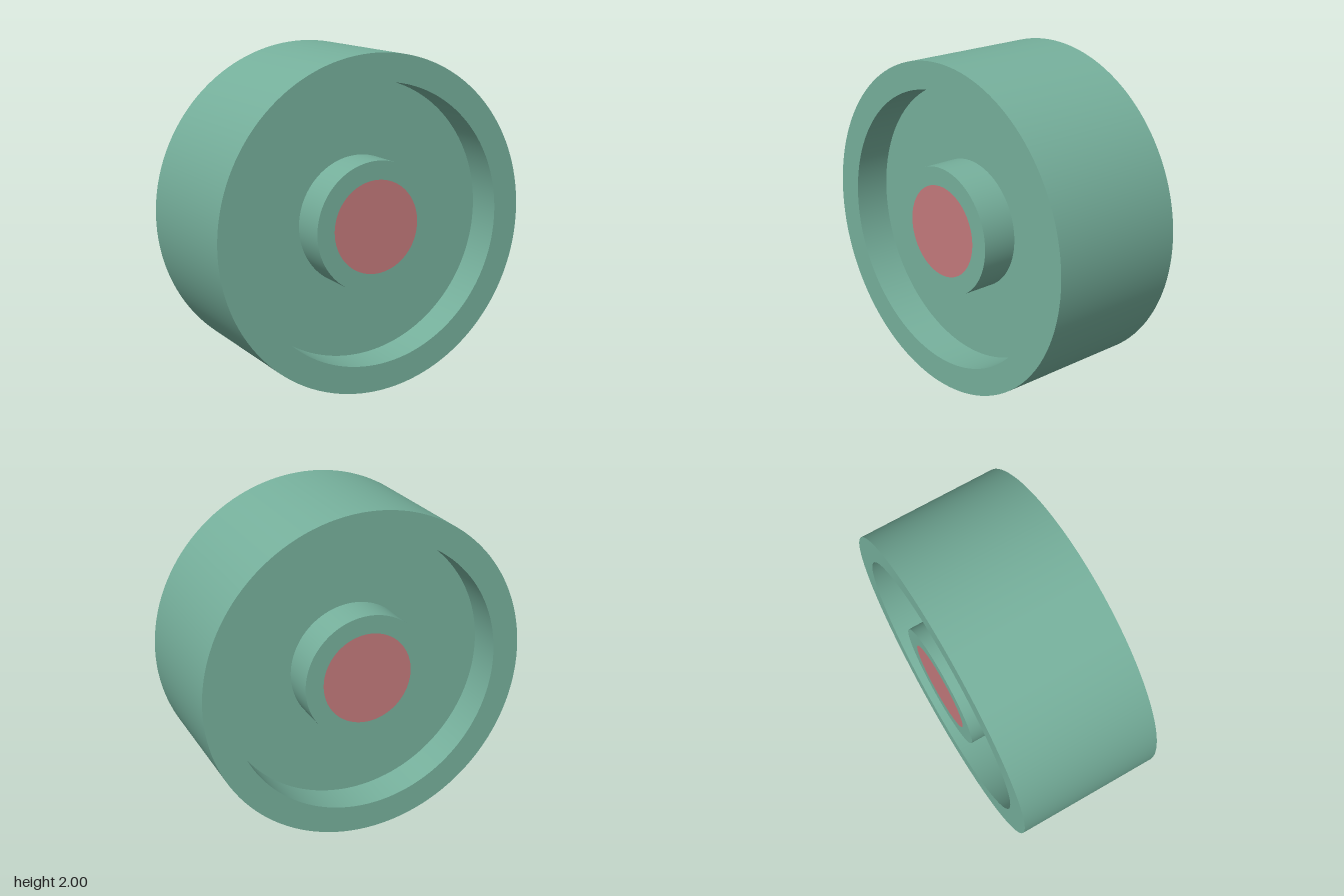
import * as THREE from 'three';
import { mergeGeometries } from 'three/addons/utils/BufferGeometryUtils.js';

const SEGMENTS = 128;
const HALF_WIDTH = 0.443, WEB = 0.222;
const AXLE_R = 0.277, HUB_R = 0.388, RIM_INNER_R = 0.835, RIM_R = 1;

// Revolves each profile edge on its own, so corners stay sharp and walls smooth
function sharpLathe(profile) {
  const bands = [];
  for (let i = 0; i + 1 < profile.length; i++) {
    const ends = [profile[i], profile[i + 1]].map(([r, h]) => new THREE.Vector2(r, h));
    bands.push(new THREE.LatheGeometry(ends, SEGMENTS));
  }
  return mergeGeometries(bands).rotateX(Math.PI / 2);
}

export function createModel() {
  const green = new THREE.MeshStandardMaterial({ color: 0x76b09c });
  green.name = 'sage green';
  const red = new THREE.MeshStandardMaterial({ color: 0xc47a7c });
  red.name = 'dusty red';

  const wheel = new THREE.Group();
  wheel.name = 'wheel';
  wheel.position.y = RIM_R;

  // Hub, recessed web and rim; the back half mirrors the front half
  const back = [
    [AXLE_R, -HALF_WIDTH], [HUB_R, -HALF_WIDTH], [HUB_R, -WEB],
    [RIM_INNER_R, -WEB], [RIM_INNER_R, -HALF_WIDTH], [RIM_R, -HALF_WIDTH],
  ];
  const front = back.map(([r, h]) => [r, -h]).reverse();
  const body = new THREE.Mesh(sharpLathe([...back, ...front]), green);
  body.name = 'wheelBody';
  wheel.add(body);

  // Axle end faces, flush with the hub
  for (const side of [1, -1]) {
    const cap = new THREE.Mesh(new THREE.CircleGeometry(AXLE_R, SEGMENTS), red);
    cap.name = side > 0 ? 'frontAxleFace' : 'backAxleFace';
    cap.position.z = side * HALF_WIDTH;
    if (side < 0) cap.rotation.y = Math.PI;
    wheel.add(cap);
  }

  const model = new THREE.Group();
  model.name = 'model';
  model.add(wheel);
  return model;
}
